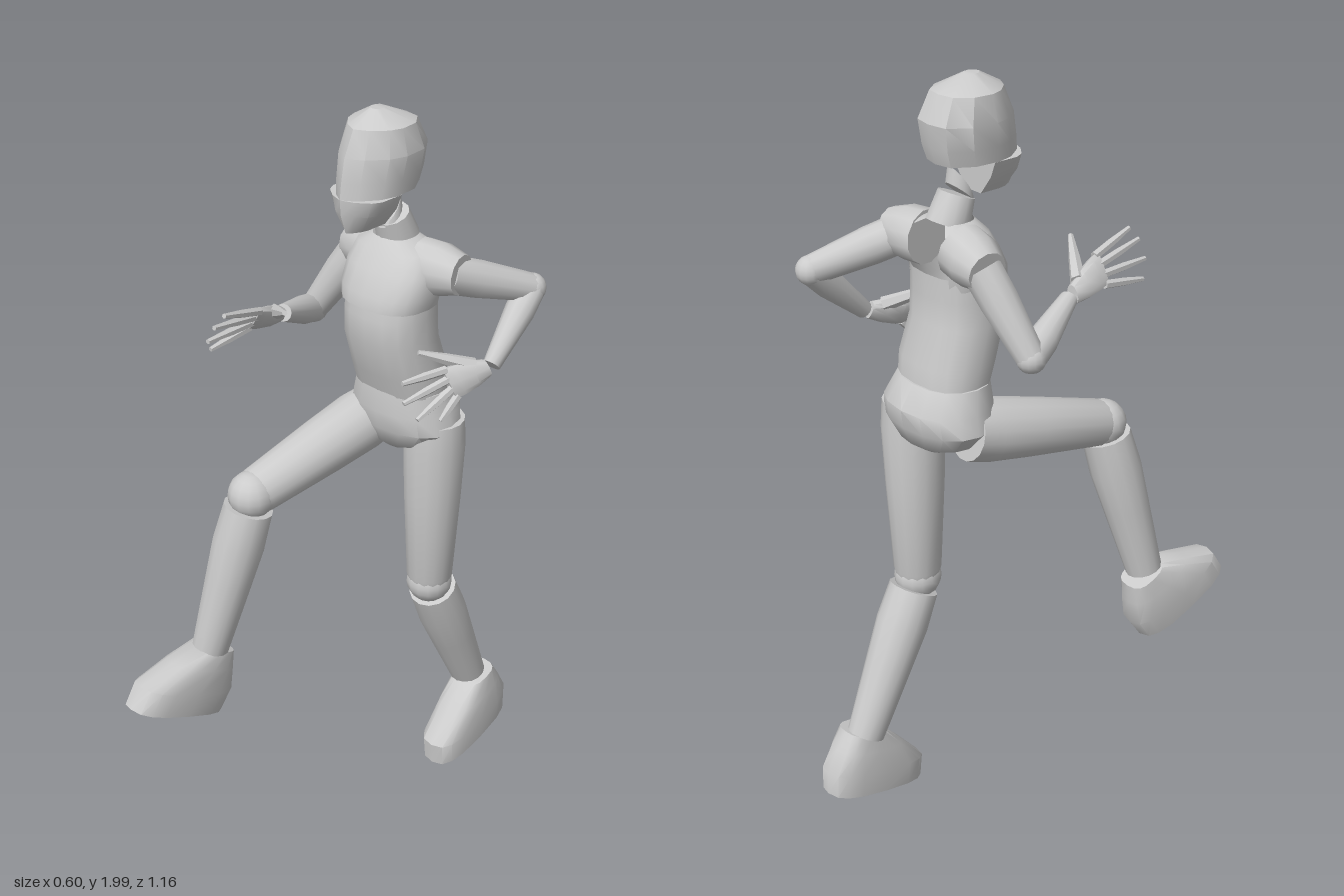
import * as THREE from 'three';
import { toCreasedNormals } from 'three/addons/utils/BufferGeometryUtils.js';

const V = (x, y, z) => new THREE.Vector3(x, y, z);
const material = new THREE.MeshStandardMaterial({ color: 0xcccccc, side: THREE.DoubleSide });

// Skin a list of equal-length point rings; outward winding is chosen by signed volume.
function loft(rings, { closed = true, caps = true, crease = 0.7 } = {}) {
  const n = rings[0].length, pts = rings.flat(), tris = [];
  const segs = closed ? n : n - 1;
  for (let r = 0; r < rings.length - 1; r++) {
    for (let i = 0; i < segs; i++) {
      const a = r * n + i, b = r * n + (i + 1) % n;
      tris.push([a, b, a + n], [b, b + n, a + n]);
    }
  }
  if (caps) {
    for (const r of [0, rings.length - 1]) {
      const c = pts.length;
      const mid = rings[r].reduce((s, p) => s.add(p), V(0, 0, 0)).divideScalar(n);
      pts.push(mid);
      for (let i = 0; i < n; i++) {
        const a = r * n + i, b = r * n + (i + 1) % n;
        tris.push(r === 0 ? [c, b, a] : [c, a, b]);
      }
    }
  }
  const centre = new THREE.Box3().setFromPoints(pts).getCenter(V(0, 0, 0));
  let volume = 0;
  for (const t of tris) {
    const [a, b, c] = t.map((i) => pts[i].clone().sub(centre));
    volume += a.dot(b.cross(c));
  }
  if (volume < 0) tris.forEach((t) => t.reverse());
  const g = new THREE.BufferGeometry().setFromPoints(pts);
  g.setIndex(tris.flat());
  return toCreasedNormals(g, crease);
}

// Superellipse ring spanned by two half-axis vectors; gap leaves an opening at -v.
function ring(c, u, v, { n = 16, power = 2, gap = 0 } = {}) {
  const count = gap ? n + 1 : n;
  return Array.from({ length: count }, (_, i) => {
    const a = -Math.PI / 2 + gap + (i / n) * (Math.PI * 2 - 2 * gap);
    const f = (q) => Math.sign(q) * Math.pow(Math.abs(q), 2 / power);
    return c.clone().addScaledVector(u, f(Math.cos(a))).addScaledVector(v, f(Math.sin(a)));
  });
}

// Level body sections: rows of [y, centre x, centre z, half width, half depth].
const sections = (rows, opts) =>
  rows.map(([y, x, z, a, b]) => ring(V(x, y, z), V(a, 0, 0), V(0, 0, b), opts));

// Round limb from a to b with a profile of [fraction, radius].
function limb(a, b, profile, n = 12) {
  const d = b.clone().sub(a);
  const q = new THREE.Quaternion().setFromUnitVectors(V(0, 1, 0), d.clone().normalize());
  return loft(profile.map(([t, r]) => ring(a.clone().addScaledVector(d, t),
    V(r, 0, 0).applyQuaternion(q), V(0, 0, r).applyQuaternion(q), { n })));
}

export function createModel() {
  const model = new THREE.Group();
  model.name = 'runningMannequin';
  const add = (name, geometry, parent = model) => {
    const mesh = new THREE.Mesh(geometry, material);
    mesh.name = name;
    parent.add(mesh);
    return mesh;
  };
  const ball = (name, p, r) => add(name, new THREE.SphereGeometry(r, 14, 10)).position.copy(p);
  const group = (name) => {
    const g = new THREE.Group();
    g.name = name;
    model.add(g);
    return g;
  };

  // Head: skull and jaw share a pointed face outline; rows are [y, back z, front z, half width]
  const face = [[0, 1], [0.45, 0.8], [0.85, 0.42], [1, 0.05]];
  const skullHalf = [...face, [0.93, -0.5], [0.55, -0.92], [0, -1]];
  const jawHalf = [...face, [1, -1], [0, -1]];
  const headRings = (rows, half) => {
    const outline = [...half, ...half.slice(1, -1).reverse().map(([x, z]) => [-x, z])];
    return rows.map(([y, back, front, w]) => outline.map(([x, z]) =>
      V(x * w, y, (back + front) / 2 + z * (front - back) / 2)));
  };
  add('skull', loft(headRings([
    [1.8, -0.243, 0, 0.082], [1.84, -0.255, -0.004, 0.089], [1.9, -0.262, -0.015, 0.096],
    [1.965, -0.23, -0.045, 0.08], [2, -0.15, -0.11, 0.018],
  ], skullHalf), { crease: 0.5 }));
  add('jaw', loft(headRings([
    [1.8, -0.13, 0, 0.082], [1.76, -0.13, -0.003, 0.066], [1.71, -0.13, -0.02, 0.028],
  ], jawHalf), { crease: 0.5 }));

  // Neck: slanted wedge above a tilted collar
  add('neck', loft([
    ring(V(0, 1.717, -0.172), V(0.036, 0, 0), V(0, -0.028, 0.033)),
    ring(V(0, 1.74, -0.17), V(0.033, 0, 0), V(0, -0.045, 0.03)),
  ]));
  add('collar', limb(V(0, 1.645, -0.21), V(0, 1.715, -0.182), [[0, 0.056], [1, 0.047]]));

  // Torso: the chest shell is open between the shoulder blades
  add('chest', loft(sections([
    [1.5, 0.015, -0.166, 0.124, 0.102], [1.535, 0.015, -0.17, 0.13, 0.102],
    [1.59, 0.012, -0.187, 0.13, 0.088], [1.635, 0.008, -0.2, 0.112, 0.073],
    [1.66, 0, -0.2, 0.056, 0.05],
  ], { power: 2.5, gap: 0.55 }), { closed: false, caps: false }));
  add('abdomen', loft(sections([
    [1.23, 0.015, -0.222, 0.127, 0.09], [1.3, 0.015, -0.207, 0.128, 0.1],
    [1.4, 0.014, -0.175, 0.122, 0.1], [1.47, 0.014, -0.172, 0.12, 0.1],
    [1.53, 0.014, -0.178, 0.118, 0.093],
  ], { power: 2.5 }), { caps: false }));
  add('pelvis', loft(sections([
    [1.25, 0.014, -0.22, 0.132, 0.096], [1.19, 0.014, -0.238, 0.153, 0.118],
    [1.14, 0.014, -0.238, 0.162, 0.112], [1.09, 0.012, -0.238, 0.115, 0.09],
    [1.06, 0.008, -0.235, 0.045, 0.05],
  ], { power: 2.2 })));

  // Arms
  const arms = [
    { side: 'left', inner: V(0.075, 1.592, -0.215), outer: V(0.19, 1.59, -0.235),
      shoulder: V(0.155, 1.585, -0.225), elbow: V(0.25, 1.51, -0.44), wrist: V(0.265, 1.355, -0.275),
      knuckles: [V(0.213, 1.365, -0.15), V(0.243, 1.3, -0.165)],
      tips: [V(0.18, 1.36, -0.035), V(0.19, 1.31, -0.03), V(0.21, 1.26, -0.06), V(0.235, 1.245, -0.12)],
      thumb: V(0.16, 1.41, -0.115) },
    { side: 'right', inner: V(-0.06, 1.597, -0.215), outer: V(-0.165, 1.575, -0.225),
      shoulder: V(-0.14, 1.575, -0.222), elbow: V(-0.265, 1.375, -0.175), wrist: V(-0.185, 1.45, 0.015),
      knuckles: [V(-0.135, 1.515, 0.15), V(-0.18, 1.455, 0.145)],
      tips: [V(-0.12, 1.55, 0.275), V(-0.135, 1.52, 0.295), V(-0.16, 1.475, 0.295), V(-0.185, 1.435, 0.265)],
      thumb: V(-0.043, 1.54, 0.147) },
  ];
  for (const a of arms) {
    add(a.side + 'Shoulder', limb(a.inner, a.outer, [[0, 0.07], [0.5, 0.069], [1, 0.052]]));
    add(a.side + 'UpperArm', limb(a.shoulder, a.elbow, [[0, 0.05], [0.35, 0.049], [1, 0.037]]));
    ball(a.side + 'Elbow', a.elbow, 0.038);
    add(a.side + 'Forearm', limb(a.elbow, a.wrist, [[0, 0.037], [0.3, 0.039], [1, 0.023]]));

    // Hand: flattened palm, four splayed fingers and a thumb
    const hand = group(a.side + 'Hand');
    const [index, little] = a.knuckles;
    const mid = index.clone().lerp(little, 0.5);
    const across = index.clone().sub(little).normalize();
    const along = mid.clone().sub(a.wrist);
    const thick = across.clone().cross(along).normalize();
    const palm = [[0.12, 0.024, 0.018], [0.45, 0.036, 0.021], [0.8, 0.043, 0.017], [1.02, 0.043, 0.01]];
    add('palm', loft(palm.map(([t, w, h]) => ring(a.wrist.clone().addScaledVector(along, t),
      across.clone().multiplyScalar(w), thick.clone().multiplyScalar(h), { n: 10, power: 2.5 }))), hand);
    a.tips.forEach((tip, i) => {
      const base = index.clone().lerp(little, i / 3).addScaledVector(along, -0.06);
      add('finger', limb(base, tip, [[0, 0.0115], [0.5, 0.011], [1, 0.0065]], 6), hand);
    });
    const thumbBase = a.wrist.clone().addScaledVector(along, 0.35).addScaledVector(across, 0.018);
    add('thumb', limb(thumbBase, a.thumb, [[0, 0.02], [0.5, 0.015], [1, 0.007]], 6), hand);
  }

  // Legs; pitch tilts the toes up, heel is the back end of the sole
  const legs = [
    { side: 'left', hip: V(0.106, 1.16, -0.25), knee: V(0.096, 0.645, -0.256), ankle: V(0.088, 0.225, -0.452),
      heel: V(0.1, 0.08, -0.575), pitch: -0.24, yaw: 0.05 },
    { side: 'right', hip: V(-0.075, 1.125, -0.22), knee: V(-0.115, 1.025, 0.205), ankle: V(-0.18, 0.57, 0.31),
      heel: V(-0.188, 0.365, 0.295), pitch: 0.43, yaw: -0.03 },
  ];
  for (const l of legs) {
    add(l.side + 'Thigh', limb(l.hip, l.knee, [[0, 0.078], [0.15, 0.083], [0.45, 0.077], [0.95, 0.063], [1, 0.056]], 16));
    ball(l.side + 'Knee', l.knee, 0.063);
    add(l.side + 'Shin', limb(l.knee, l.ankle, [[0.08, 0.066], [0.3, 0.07], [0.55, 0.063], [1, 0.05]], 14));

    // Foot: rows of [height above sole, back, front, half width]
    const rows = [[0, 0, 0.314, 0.062], [0.065, -0.012, 0.304, 0.066], [0.13, 0.008, 0.215, 0.06], [0.18, 0.027, 0.138, 0.05]];
    const foot = add(l.side + 'Foot', loft(rows.map(([y, b, f, w]) =>
      ring(V(0, y, (b + f) / 2), V(w, 0, 0), V(0, 0, (f - b) / 2), { n: 16, power: 2.9 }))));
    foot.position.copy(l.heel);
    foot.rotation.set(-l.pitch, l.yaw, 0, 'YXZ');
  }
  return model;
}
